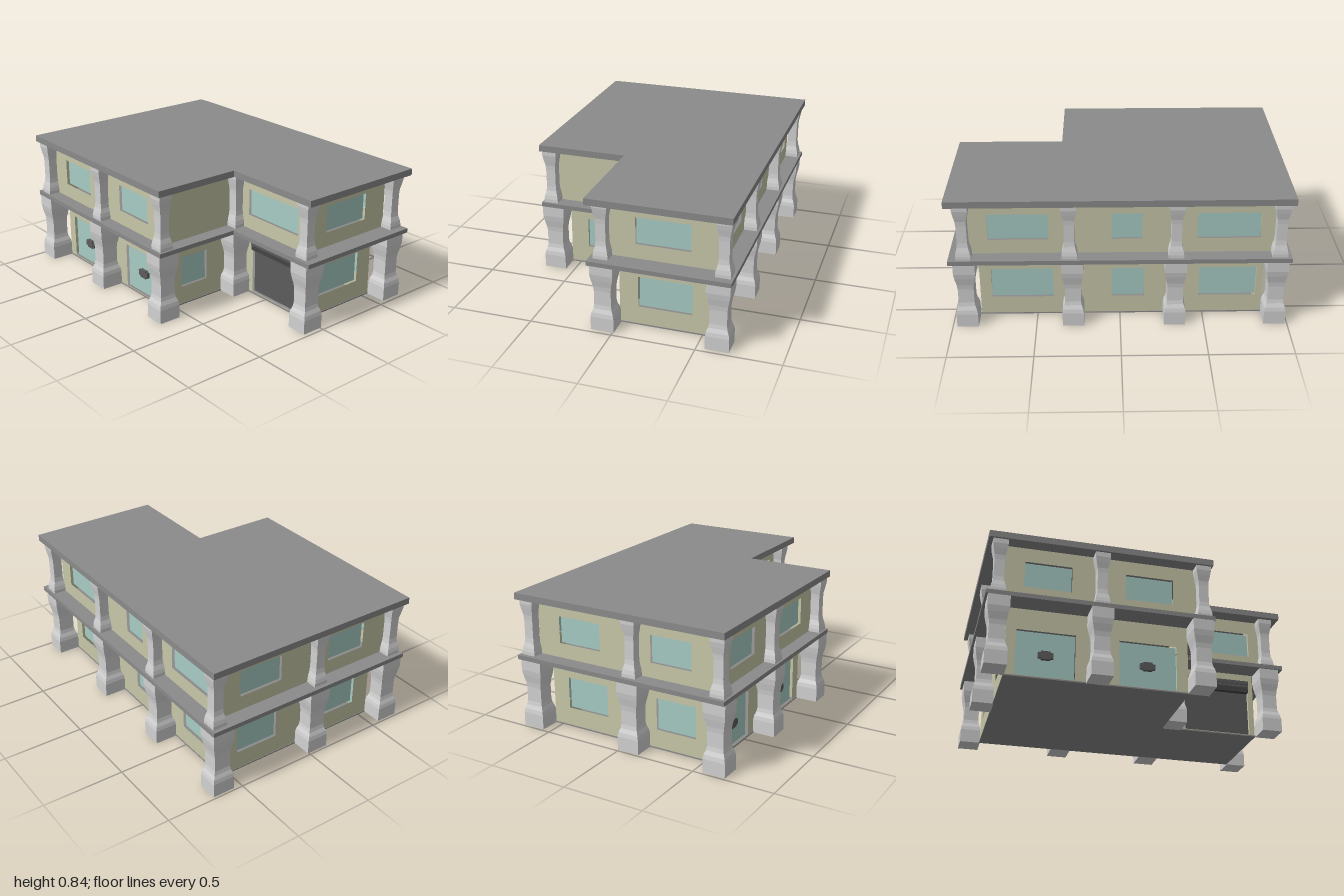
import * as THREE from 'three';

const mat = (name, color) => Object.assign(new THREE.MeshStandardMaterial({ color }), { name });

export function createModel() {
  const house = new THREE.Group();
  house.name = 'house';

  const slabGrey = mat('slab grey', 0x8b8b8b);
  const wallCream = mat('wall cream', 0xc8c8aa);
  const glassTeal = mat('glass teal', 0xa8ccc5);
  const columnGrey = mat('column light grey', 0xd2d2d2);
  const shutterGrey = mat('shutter dark grey', 0x5c5c5c);
  const hoodGrey = mat('hood charcoal', 0x454545);

  function add(parent, name, geometry, material, x = 0, y = 0, z = 0) {
    const mesh = new THREE.Mesh(geometry, material);
    mesh.name = name;
    mesh.position.set(x, y, z);
    parent.add(mesh);
    return mesh;
  }

  // L-shaped outline, walked from the front left corner round the model
  const outline = (x0, x1, x2, front, inner, back) =>
    [[x0, front], [x1, front], [x1, inner], [x2, inner], [x2, back], [x0, back]];

  function slab(name, points, y0, y1) {
    const shape = new THREE.Shape(points.map(([x, z]) => new THREE.Vector2(x, -z)));
    const geometry = new THREE.ExtrudeGeometry(shape, { depth: y1 - y0, bevelEnabled: false });
    add(house, name, geometry.rotateX(-Math.PI / 2), slabGrey, 0, y0);
  }

  const rectangle = (path, u0, u1, v0, v1) =>
    path.moveTo(u0, v0).lineTo(u0, v1).lineTo(u1, v1).lineTo(u1, v0).closePath();

  const THICK = 0.03;

  // One wall from a to b, with openings given as [from, to, bottom, top, material]
  function wall(name, a, b, y0, y1, openings) {
    const group = new THREE.Group();
    group.name = name;
    group.position.set(a[0], 0, a[1]);
    group.rotation.y = Math.atan2(a[1] - b[1], b[0] - a[0]);
    house.add(group);

    const length = Math.hypot(b[0] - a[0], b[1] - a[1]);
    const axis = Math.abs(b[0] - a[0]) > Math.abs(b[1] - a[1]) ? 0 : 1;
    const shape = rectangle(new THREE.Shape(), 0, length, y0, y1);
    for (const [from, to, bottom, top, material = glassTeal] of openings) {
      const [u0, u1] = [from, to].map((w) => Math.abs(w - a[axis])).sort((p, q) => p - q);
      shape.holes.push(rectangle(new THREE.Path(), u0, u1, bottom, top));
      add(group, 'pane', new THREE.BoxGeometry(u1 - u0, top - bottom, 0.008), material,
        (u0 + u1) / 2, (bottom + top) / 2, -0.022);
    }
    const geometry = new THREE.ExtrudeGeometry(shape, { depth: THICK, bevelEnabled: false });
    add(group, 'wallPanel', geometry, wallCream, 0, 0, -THICK);
  }

  function storey(name, points, y0, y1, sides) {
    points.forEach((point, i) =>
      wall(`${name}Wall${i + 1}`, point, points[(i + 1) % points.length], y0, y1, sides[i]));
  }

  // Square column, waisted between two wide blocks; profile holds [half width, height]
  function column(name, x, z, profile, depthScale) {
    const points = profile.map(([r, y]) => new THREE.Vector2(r * Math.SQRT2, y));
    const geometry = new THREE.LatheGeometry(points, 4, Math.PI / 4)
      .scale(1, 1, depthScale).toNonIndexed();
    geometry.computeVertexNormals();
    add(house, name, geometry, columnGrey, x, 0, z);
  }

  // Slabs
  const edge = outline(-1, 0.353, 1, 0.695, 0.14, -0.7);
  const lowerPlan = outline(-0.86, 0.22, 0.84, 0.555, 0, -0.55);
  const upperPlan = outline(-0.905, 0.265, 0.88, 0.61, 0.045, -0.605);
  slab('groundFloor', outline(-0.863, 0.223, 0.843, 0.558, 0.003, -0.553), 0, 0.008);
  slab('middleSlab', edge, 0.428, 0.455);
  slab('roofSlab', edge, 0.8, 0.84);

  // Walls with windows: front, inner side, wing front, right, back, left
  const low = [0.12, 0.315];
  const high = [0.545, 0.71];
  storey('ground', lowerPlan, 0.004, 0.43, [
    [[-0.8, -0.455, 0.012, 0.295], [-0.195, 0.15, 0.012, 0.295]],
    [[0.44, 0.245, ...low]],
    [[0.375, 0.805, 0.012, 0.35, shutterGrey]],
    [[-0.115, -0.44, ...low]],
    [[0.77, 0.4, ...low], [0.05, -0.145, ...low], [-0.475, -0.82, ...low]],
    [[-0.44, -0.16, ...low], [0.18, 0.44, ...low]],
  ]);
  storey('upper', upperPlan, 0.45, 0.805, [
    [[-0.775, -0.495, ...high], [-0.17, 0.12, ...high]],
    [],
    [[0.385, 0.81, ...high]],
    [[-0.115, -0.44, ...high]],
    [[0.77, 0.415, ...high], [0.05, -0.13, ...high], [-0.45, -0.82, ...high]],
    [[-0.455, -0.17, ...high], [0.175, 0.44, ...high]],
  ]);

  // Columns on both storeys
  const lowerProfile = [[0, 0], [0.064, 0], [0.064, 0.085], [0.06, 0.11], [0.051, 0.135],
    [0.047, 0.16], [0.047, 0.25], [0.05, 0.28], [0.059, 0.325], [0.064, 0.36],
    [0.064, 0.43], [0, 0.43]];
  const upperProfile = [[0, 0.45], [0.045, 0.45], [0.045, 0.475], [0.041, 0.5], [0.033, 0.53],
    [0.03, 0.56], [0.03, 0.67], [0.032, 0.7], [0.04, 0.74], [0.045, 0.77],
    [0.045, 0.802], [0, 0.802]];
  const columnRows = [
    [0.625, 0.637, [0, 1, 2]],
    [0.062, 0.07, [0, 2, 3]],
    [-0.62, -0.64, [0, 1, 2, 3]],
  ];
  const lowerX = [-0.922, -0.325, 0.28, 0.91];
  const upperX = [-0.93, -0.325, 0.295, 0.91];
  for (const [lowerZ, upperZ, places] of columnRows) {
    for (const i of places) {
      column('groundColumn', lowerX[i], lowerZ, lowerProfile, 1.09);
      column('upperColumn', upperX[i], upperZ, upperProfile, 1);
    }
  }

  // Handles on the two front doors
  for (const x of [-0.625, -0.025]) {
    const handle = new THREE.Group();
    handle.name = 'doorHandle';
    handle.position.set(x, 0.15, 0.543);
    house.add(handle);
    add(handle, 'handleBar', new THREE.BoxGeometry(0.09, 0.035, 0.022), shutterGrey);
    add(handle, 'handleCentre', new THREE.BoxGeometry(0.055, 0.052, 0.026), shutterGrey);
  }

  // Stepped hood of rolled slats above the garage shutter: [bottom, top, reach, material]
  const slats = [
    [0.352, 0.375, 0.022, shutterGrey],
    [0.332, 0.352, 0.017, shutterGrey],
    [0.3, 0.332, 0.012, hoodGrey],
  ];
  for (const [bottom, top, reach, material] of slats) {
    add(house, 'garageHoodSlat', new THREE.BoxGeometry(0.43, top - bottom, reach + 0.02), material,
      0.59, (bottom + top) / 2, reach / 2 - 0.01);
  }

  return house;
}
